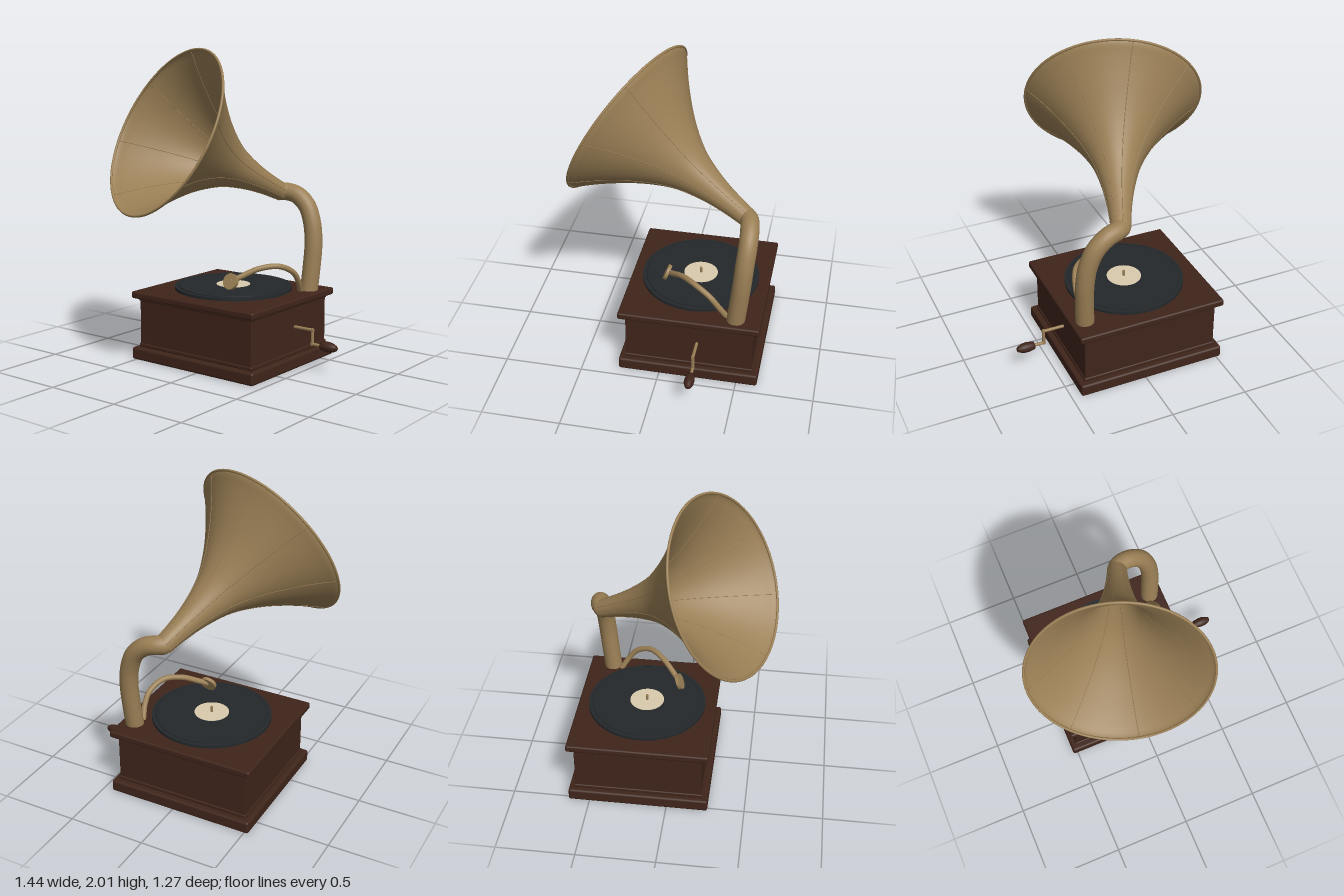
import * as THREE from 'three';
import { RoundedBoxGeometry } from 'three/addons/geometries/RoundedBoxGeometry.js';

const V = (x, y, z) => new THREE.Vector3(x, y, z);
const paint = (color, extra = {}) => new THREE.MeshStandardMaterial({ color, ...extra });

export function createModel() {
  const model = new THREE.Group();
  const brass = paint(0x9a7f55);
  const brassSheet = paint(0x9a7f55, { side: THREE.DoubleSide });
  const wood = paint(0x40251b);
  const black = paint(0x24282b);
  const cream = paint(0xd9cbae);

  function add(name, geometry, material, pos = [0, 0, 0], parent = model) {
    const mesh = new THREE.Mesh(geometry, material);
    mesh.name = name;
    mesh.position.set(...pos);
    parent.add(mesh);
    return mesh;
  }
  const lathe = (pts, seg = 64) =>
    new THREE.LatheGeometry(pts.map(([r, y]) => new THREE.Vector2(r, y)), seg);
  const tube = (pts, r, seg = 48, sides = 20) =>
    new THREE.TubeGeometry(new THREE.CatmullRomCurve3(pts), seg, r, sides);

  // Wooden cabinet: plinth, body, two thin mouldings and lid
  const cx = -0.045, cz = -0.185;
  [
    ['plinth', 0.97, 0.0, 0.08, 0.90, 0.015],
    ['lowerMoulding', 0.905, 0.08, 0.105, 0.83, 0.008],
    ['cabinetBody', 0.89, 0.07, 0.42, 0.815, 0.004],
    ['upperMoulding', 0.905, 0.385, 0.41, 0.83, 0.008],
    ['lid', 0.97, 0.405, 0.45, 0.90, 0.012],
  ].forEach(([name, w, y0, y1, d, r]) =>
    add(name, new RoundedBoxGeometry(w, y1 - y0, d, 3, r), wood, [cx, (y0 + y1) / 2, cz]));

  // Turntable with grooved record, label and spindle
  const turntable = new THREE.Group();
  turntable.name = 'turntable';
  turntable.position.set(cx, 0.45, cz);
  model.add(turntable);
  add('platter', new THREE.CylinderGeometry(0.38, 0.38, 0.018, 72), black, [0, 0.02, 0], turntable);
  add('platterHub', new THREE.CylinderGeometry(0.1, 0.1, 0.012, 32), black, [0, 0.006, 0], turntable);
  const record = [[0.352, 0.026], [0.355, 0.034]];
  for (let i = 0; i <= 36; i++) record.push([0.35 - i * 0.0063, i % 2 ? 0.034 : 0.036]);
  record.push([0, 0.035]);
  add('record', lathe(record, 72), black, [0, 0, 0], turntable);
  add('recordLabel', new THREE.CylinderGeometry(0.11, 0.11, 0.004, 48), cream, [0, 0.036, 0], turntable);
  add('spindle', new THREE.CylinderGeometry(0.008, 0.008, 0.04, 16), brass, [0, 0.055, 0], turntable);

  // Curved neck carrying the horn
  const throat = V(0.12, 1.07, -0.49);
  const axis = V(-0.31, 0.43, 0.805).normalize();
  add('neck', tube([
    V(0.35, 0.445, -0.475), V(0.358, 0.6, -0.492), V(0.36, 0.75, -0.507), V(0.342, 0.88, -0.517),
    V(0.295, 0.99, -0.525), V(0.22, 1.055, -0.522), V(0.15, 1.073, -0.508), V(0.115, 1.075, -0.485),
  ], 0.058, 64, 28), brassSheet);
  add('neckJoint', new THREE.SphereGeometry(0.058, 28, 18), brass, [0.122, 1.073, -0.492]);

  // Horn group: local y runs from the throat to the mouth
  const horn = new THREE.Group();
  horn.name = 'horn';
  const across = V(axis.z, 0, -axis.x).normalize();
  horn.quaternion.setFromRotationMatrix(
    new THREE.Matrix4().makeBasis(across, axis, across.clone().cross(axis)));
  horn.position.copy(throat);
  model.add(horn);
  const flare = new THREE.SplineCurve([
    [0.06, 0], [0.074, 0.15], [0.102, 0.3], [0.149, 0.45], [0.22, 0.58], [0.306, 0.7],
    [0.41, 0.82], [0.488, 0.9], [0.537, 0.945], [0.554, 0.968],
  ].map(([r, y]) => new THREE.Vector2(r, y))).getPoints(48);
  add('hornBell', new THREE.LatheGeometry(flare, 96), brassSheet, [0, 0, 0], horn);
  const rim = add('hornRim', new THREE.TorusGeometry(0.554, 0.008, 12, 96), brass, [0, 0.967, 0], horn);
  rim.rotation.x = Math.PI / 2;

  // Eight fine seams along the outside of the bell
  for (let i = 0; i < 8; i++) {
    const a = THREE.MathUtils.degToRad(11 + i * 45);
    const path = flare.filter((_, k) => k % 4 === 0)
      .map(p => V(p.x * Math.cos(a), p.y, -p.x * Math.sin(a)));
    add('hornSeam', tube(path, 0.0025, 40, 6), brass, [0, 0, 0], horn);
  }

  // Tone arm and round sound box
  add('toneArm', tube([
    V(0.325, 0.445, -0.415), V(0.342, 0.53, -0.36), V(0.338, 0.595, -0.305), V(0.295, 0.642, -0.205),
    V(0.21, 0.63, -0.11), V(0.135, 0.585, -0.035), V(0.088, 0.556, 0.008),
  ], 0.018), brassSheet);
  const box = add('soundBox', new THREE.CylinderGeometry(0.052, 0.052, 0.022, 40), brass, [0.085, 0.553, 0.013]);
  box.quaternion.setFromUnitVectors(V(0, 1, 0), V(0, 0.39, 0.92).normalize());

  // Winding crank: shaft, drop arm, grip pin and wooden handle
  const crank = new THREE.Group();
  crank.name = 'crank';
  crank.position.z = -0.24;
  model.add(crank);
  const rod = (name, x0, y0, x1, y1) => {
    const m = add(name, new THREE.CylinderGeometry(0.01, 0.01, Math.hypot(x1 - x0, y1 - y0), 16),
      brass, [(x0 + x1) / 2, (y0 + y1) / 2, 0], crank);
    m.quaternion.setFromUnitVectors(V(0, 1, 0), V(x1 - x0, y1 - y0, 0).normalize());
  };
  rod('crankShaft', 0.38, 0.26, 0.545, 0.26);
  rod('crankArm', 0.535, 0.27, 0.535, 0.16);
  rod('crankPin', 0.525, 0.17, 0.63, 0.17);
  const handle = add('crankHandle', lathe([
    [0, 0], [0.022, 0], [0.027, 0.012], [0.032, 0.045], [0.031, 0.075], [0.02, 0.105], [0.012, 0.115], [0, 0.115],
  ], 24), wood, [0.6, 0.17, 0], crank);
  handle.rotation.z = -Math.PI / 2;

  return model;
}
